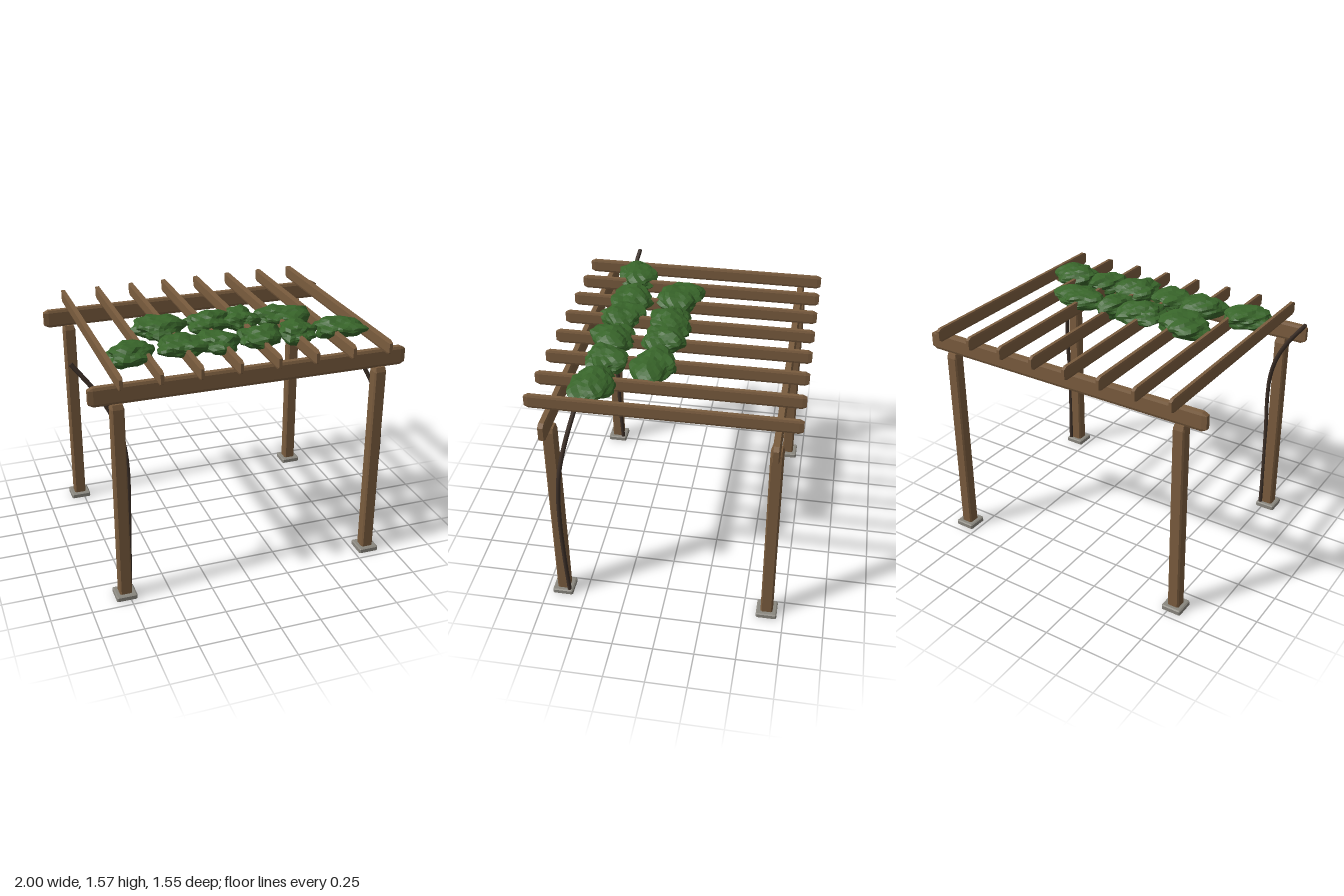
import * as THREE from 'three';
import { ConvexGeometry } from 'three/addons/geometries/ConvexGeometry.js';

const material = (name, color, flatShading = false) => {
  const m = new THREE.MeshStandardMaterial({ color, flatShading });
  m.name = name;
  return m;
};

// Box with chamfered edges; size and chamfer are given per axis
function chamferBox(size, chamfer) {
  const points = [];
  for (const sx of [-1, 1]) for (const sy of [-1, 1]) for (const sz of [-1, 1]) {
    const s = [sx, sy, sz];
    for (let full = 0; full < 3; full++) {
      const p = s.map((sign, a) => sign * (size[a] / 2 - (a === full ? 0 : chamfer[a])));
      points.push(new THREE.Vector3(...p));
    }
  }
  return new ConvexGeometry(points);
}

// Irregular leafy clump: a flattened sphere pushed in and out by layered waves
function clumpGeometry(seed, rx, ry, rz) {
  const g = new THREE.IcosahedronGeometry(1, 4);
  const pos = g.attributes.position;
  const v = new THREE.Vector3();
  for (let i = 0; i < pos.count; i++) {
    v.fromBufferAttribute(pos, i).normalize();
    const wave =
      0.10 * Math.sin(3.1 * v.x + 2.3 * v.z + seed * 1.7) +
      0.08 * Math.sin(5.3 * v.z - 3.7 * v.y + seed * 2.9) +
      0.06 * Math.sin(8.7 * v.x + 6.1 * v.y + seed * 4.3) +
      0.04 * Math.sin(13.1 * v.z + 9.7 * v.x + seed * 0.7);
    v.multiplyScalar(0.97 + wave);
    pos.setXYZ(i, v.x * rx, v.y * ry, v.z * rz);
  }
  g.computeVertexNormals();
  return g;
}

export function createModel() {
  const model = new THREE.Group();
  model.name = 'pergola';
  const wood = material('timber brown', 0x7a5c3e, true);
  const stone = material('footing grey', 0x8a877f, true);
  const bark = material('vine bark', 0x3d3028);
  const leaf = material('leaf green', 0x38652a, true);

  const add = (name, geometry, mat, x, y, z) => {
    const mesh = new THREE.Mesh(geometry, mat);
    mesh.name = name;
    mesh.position.set(x, y, z);
    model.add(mesh);
  };

  const postX = [-0.775, 0.838];
  const postZ = 0.645;

  // Posts on square footings
  const post = chamferBox([0.075, 1.29, 0.075], [0.009, 0.03, 0.009]);
  const footing = chamferBox([0.128, 0.034, 0.128], [0.008, 0.005, 0.008]);
  for (const x of postX) for (const z of [-postZ, postZ]) {
    add('post', post, wood, x, 0.647, z);
    add('footing', footing, stone, x, 0.017, z);
  }

  // Long beams at front and back
  const beam = chamferBox([1.936, 0.114, 0.042], [0.03, 0.016, 0.006]);
  for (const z of [-postZ, postZ]) add('beam', beam, wood, 0.032, 1.347, z);

  // Eight rafters across the beams
  const rafter = chamferBox([0.028, 0.084, 1.555], [0.004, 0.013, 0.025]);
  for (let i = 0; i < 8; i++) add('rafter', rafter, wood, -0.775 + i * 0.2304, 1.453, 0);

  // Vine stems climbing the front posts, offsets measured from the post axis in x
  const path = new THREE.CatmullRomCurve3([
    [0.042, 0.03, 0.605], [0.046, 0.3, 0.617], [0.052, 0.6, 0.622],
    [0.056, 0.85, 0.613], [0.04, 1.02, 0.595], [-0.01, 1.18, 0.563],
    [-0.09, 1.325, 0.527], [-0.21, 1.487, 0.483],
  ].map((p) => new THREE.Vector3(...p)));
  const stem = new THREE.TubeGeometry(path, 40, 0.0135, 8);
  // Flat caps close both stem ends
  const caps = [0, 1].map((t) => {
    const cap = new THREE.CircleGeometry(0.0135, 8);
    const dir = path.getTangentAt(t).multiplyScalar(t ? 1 : -1);
    cap.applyQuaternion(new THREE.Quaternion().setFromUnitVectors(new THREE.Vector3(0, 0, 1), dir));
    const p = path.getPointAt(t);
    return cap.translate(p.x, p.y, p.z);
  });
  for (const x of postX) {
    add('vineStem', stem, bark, x, 0, 0);
    for (const cap of caps) add('vineStemEnd', cap, bark, x, 0, 0);
  }

  // Foliage clumps: x, y, z, half width, half height, half depth
  const clumps = [
    [-0.63, 1.48, 0.42, 0.155, 0.062, 0.135],
    [-0.31, 1.48, 0.41, 0.155, 0.062, 0.13],
    [-0.11, 1.48, 0.41, 0.135, 0.062, 0.13],
    [0.16, 1.48, 0.42, 0.14, 0.062, 0.14],
    [0.40, 1.48, 0.41, 0.135, 0.062, 0.13],
    [0.67, 1.48, 0.43, 0.155, 0.065, 0.125],
    [-0.37, 1.487, 0.095, 0.16, 0.07, 0.14],
    [-0.06, 1.485, 0.10, 0.155, 0.068, 0.135],
    [0.15, 1.485, 0.12, 0.12, 0.066, 0.13],
    [0.42, 1.48, 0.12, 0.17, 0.062, 0.125],
  ];
  clumps.forEach(([x, y, z, rx, ry, rz], i) =>
    add('foliageClump', clumpGeometry(i + 1, rx, ry, rz), leaf, x, y, z));

  return model;
}
